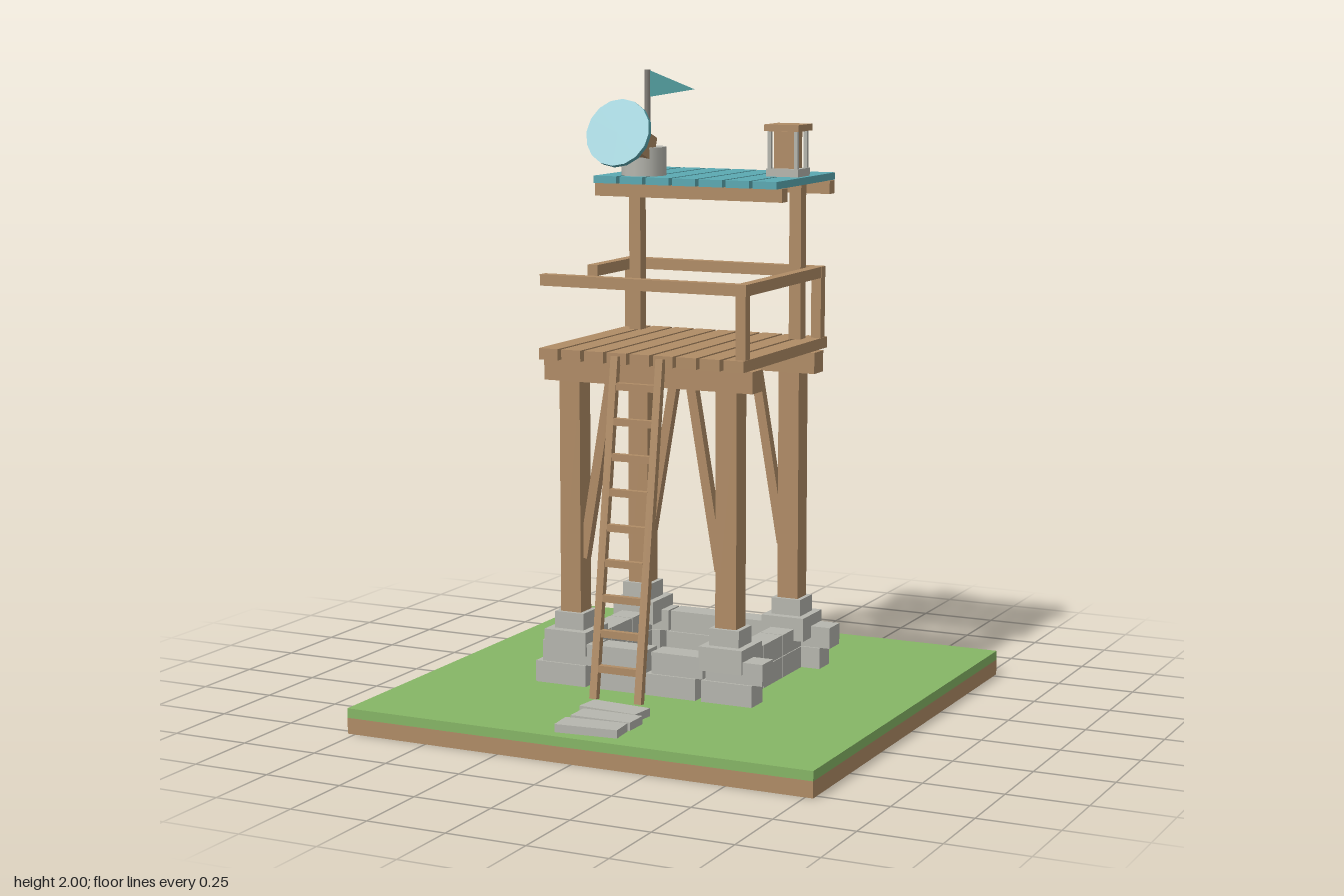
import * as THREE from 'three';

const mat = (name, color, side = THREE.FrontSide) => {
  const m = new THREE.MeshStandardMaterial({ color, side });
  m.name = name;
  return m;
};

export function createModel() {
  const root = new THREE.Group();
  root.name = 'watchtower';
  const wood = mat('wood', 0xb08c66);
  const grass = mat('grass', 0x86b666);
  const stone = mat('stone', 0xb6b6ae);
  const teal = mat('teal paint', 0x5ba9b2);
  const glass = mat('pale blue', 0xa0d3dc);
  const metal = mat('pole grey', 0x85807a);
  const cloth = mat('flag teal', 0x4f9a9c, THREE.DoubleSide);

  const group = (name, parent = root) => {
    const g = new THREE.Group();
    g.name = name;
    parent.add(g);
    return g;
  };
  const add = (parent, name, geo, m, x = 0, y = 0, z = 0) => {
    const mesh = new THREE.Mesh(geo, m);
    mesh.name = name;
    mesh.position.set(x, y, z);
    parent.add(mesh);
    return mesh;
  };
  // Box given by its extents along each axis
  const block = (parent, name, m, [x0, x1], [y0, y1], [z0, z1]) =>
    add(parent, name, new THREE.BoxGeometry(x1 - x0, y1 - y0, z1 - z0), m,
      (x0 + x1) / 2, (y0 + y1) / 2, (z0 + z1) / 2);
  const around = (c, w) => [c - w / 2, c + w / 2];
  // Square-section bar between two points
  const bar = (parent, name, m, a, b, w, d) => {
    const p = new THREE.Vector3(...a), q = new THREE.Vector3(...b);
    const mesh = add(parent, name, new THREE.BoxGeometry(w, p.distanceTo(q), d), m);
    mesh.position.copy(p).lerp(q, 0.5);
    mesh.quaternion.setFromUnitVectors(new THREE.Vector3(0, 1, 0), q.sub(p).normalize());
  };

  // Ground slab
  block(root, 'soil', wood, [-0.775, 0.775], [0, 0.05], [-0.775, 0.775]);
  block(root, 'grass', grass, [-0.775, 0.775], [0.05, 0.08], [-0.775, 0.775]);

  // Stepping stones
  const steps = group('steppingStones');
  for (const [x, z, turn] of [[-0.003, 0.487, -0.09], [0.02, 0.585, 0], [0.02, 0.685, 0.09]])
    block(steps, 'steppingStone', stone, around(x, 0.2), [0.08, 0.105], around(z, 0.085)).rotation.y = turn;

  // Two courses of foundation stones on each side
  const base = group('foundation');
  const lower = [[-0.375, -0.2], [-0.175, 0], [0.01, 0.18], [0.2, 0.37]];
  const upper = [[-0.35, -0.168], [-0.16, 0.01], [0.03, 0.205], [0.215, 0.405]];
  for (const s of [-1, 1]) {
    for (const span of lower) block(base, 'lowerStone', stone, span, [0.1, 0.168], around(s * 0.263, 0.08));
    for (const span of upper) block(base, 'upperStone', stone, span, [0.17, 0.238], around(s * 0.263, 0.08));
    for (const y of [0.1, 0.17])
      for (const k of [-1, 0, 1])
        block(base, 'sideStone', stone, around(s * 0.267, 0.08), [y, y + 0.068], around(k * 0.148, 0.144));
  }

  // Legs on stone footings, with slanted braces
  const frame = group('frame');
  for (const x of [-0.267, 0.267]) {
    for (const z of [-0.235, 0.235]) {
      block(frame, 'footing', stone, around(x, 0.145), [0.2, 0.275], around(z, 0.15));
      block(frame, 'footingCap', stone, around(x, 0.1), [0.275, 0.328], around(z, 0.095));
      block(frame, 'leg', wood, around(x, 0.07), [0.328, 1.06], around(z, 0.07));
      const s = Math.sign(x);
      bar(frame, 'brace', wood, [s * 0.235, 0.5, z], [s * 0.137, 1.07, z], 0.03, 0.03);
    }
  }
  for (const z of [-0.235, 0.235])
    block(frame, 'deckBeam', wood, [-0.355, 0.355], [1.058, 1.125], around(z, 0.072));

  // Deck planks
  const deck = group('deck');
  for (let i = -4; i <= 4; i++)
    block(deck, 'deckPlank', wood, around(i * 0.0785, 0.066), [1.128, 1.163], [-0.32, 0.32]);

  // Railing, with an opening on the right-hand front corner
  const rail = group('railing');
  const railY = [1.355, 1.39];
  for (const z of [-0.287, 0.287]) block(rail, 'crossRail', wood, [-0.35, 0.347], railY, around(z, 0.035));
  block(rail, 'sideRail', wood, around(0.329, 0.035), railY, [-0.27, 0.27]);
  block(rail, 'shortRail', wood, around(-0.332, 0.035), railY, [-0.27, -0.01]);
  for (const [x, z] of [[0.329, 0.287], [0.329, -0.287], [-0.332, -0.287]])
    block(rail, 'railPost', wood, around(x, 0.033), [1.163, 1.355], around(z, 0.033));

  // Ladder leaning on the deck
  const ladder = group('ladder');
  const ladderZ = y => 0.478 - (y - 0.12) * 0.146;
  for (const x of [-0.077, 0.075])
    bar(ladder, 'ladderRail', wood, [x, 0.12, ladderZ(0.12)], [x, 1.155, ladderZ(1.155)], 0.024, 0.022);
  for (let i = 0; i < 9; i++) {
    const y = 0.213 + i * 0.1065;
    block(ladder, 'rung', wood, [-0.066, 0.064], around(y, 0.022), around(ladderZ(y), 0.02));
  }

  // Roof on two rear posts
  const roof = group('roof');
  for (const x of [-0.283, 0.281])
    block(roof, 'roofPost', wood, around(x, 0.04), [1.163, 1.652], around(-0.232, 0.04));
  for (const z of [-0.412, -0.036])
    block(roof, 'roofBeam', wood, [-0.325, 0.322], [1.61, 1.652], around(z, 0.04));
  for (let i = -3; i <= 3; i++)
    block(roof, 'roofPlank', teal, around(i * 0.0917 - 0.002, 0.08), [1.652, 1.675], [-0.455, 0.008]);

  // Lantern
  const lantern = group('lantern');
  lantern.position.set(0.242, 1.675, -0.243);
  block(lantern, 'lanternBase', stone, around(0, 0.108), [0, 0.025], around(0, 0.095));
  block(lantern, 'lanternCore', wood, around(0, 0.07), [0.025, 0.14], around(0, 0.06));
  for (const x of [-0.045, 0.045])
    for (const z of [-0.038, 0.038])
      block(lantern, 'lanternPost', stone, around(x, 0.012), [0.025, 0.142], around(z, 0.012));
  block(lantern, 'lanternCap', wood, around(0, 0.118), [0.142, 0.163], around(0, 0.108));

  // Searchlight: drum, tilted arm and round lens
  const light = group('searchlight');
  add(light, 'drum', new THREE.CylinderGeometry(0.071, 0.071, 0.09, 16), stone, -0.185, 1.72, -0.085);
  const head = group('lightHead', light);
  head.position.set(-0.185, 1.816, 0.09);
  head.rotation.x = -0.35;
  block(head, 'lightArm', wood, around(0, 0.09), around(0, 0.078), [-0.175, -0.008]);
  const lens = add(head, 'lens', new THREE.CylinderGeometry(0.108, 0.108, 0.018, 16), [teal, glass, glass]);
  lens.rotation.x = Math.PI / 2;

  // Flag on its pole
  const flag = group('flag');
  add(flag, 'flagPole', new THREE.CylinderGeometry(0.01, 0.01, 0.35, 6), metal, -0.255, 1.825, -0.25);
  const pennant = new THREE.Shape([[0, 0], [0.16, 0.027], [0, 0.085]].map(p => new THREE.Vector2(...p)));
  add(flag, 'pennant', new THREE.ShapeGeometry(pennant), cloth, -0.247, 1.913, -0.25);

  return root;
}
